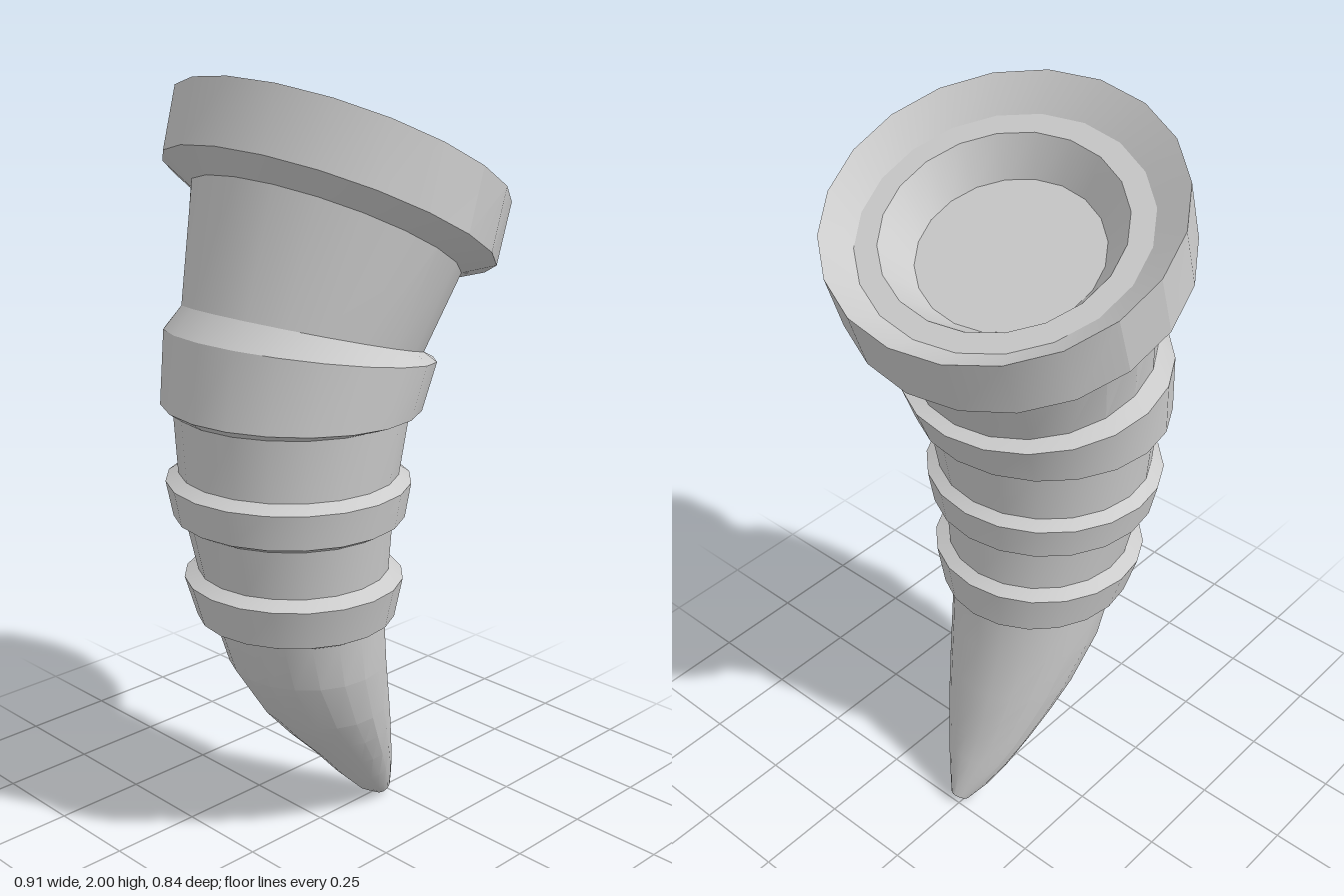
import * as THREE from 'three';
import { toCreasedNormals } from 'three/addons/utils/BufferGeometryUtils.js';

const SIDES = 20;

// Skin over tilted elliptical rings: [centre x, half width, front z, front y, back z, back y]
function loft(name, rings) {
  const point = ([cx, rx, fz, fy, bz, by], j) => {
    const a = (j % SIDES) / SIDES * Math.PI * 2;
    const t = (1 - Math.cos(a)) / 2;
    return [cx + rx * Math.sin(a), fy + (by - fy) * t, fz + (bz - fz) * t];
  };
  const positions = [];
  for (let i = 0; i < rings.length - 1; i++) {
    const lower = rings[i], upper = rings[i + 1];
    for (let j = 0; j < SIDES; j++) {
      const a = point(lower, j), b = point(lower, j + 1);
      const c = point(upper, j + 1), d = point(upper, j);
      // a ring of zero width is a cap centre, so only one triangle is needed there
      if (lower[1] > 0) positions.push(...a, ...b, ...c);
      if (upper[1] > 0) positions.push(...a, ...c, ...d);
    }
  }
  const geometry = new THREE.BufferGeometry();
  geometry.setAttribute('position', new THREE.Float32BufferAttribute(positions, 3));
  const material = new THREE.MeshStandardMaterial({ color: 0xcccccc });
  const mesh = new THREE.Mesh(toCreasedNormals(geometry, Math.PI / 9), material);
  mesh.name = name;
  return mesh;
}

// Ring parallel to the slanted mouth, sunk below it by a depth
function mouthRing(rx, frontZ, backZ, depth) {
  const y = (z) => 1.846 + 0.529 * z - 1.13 * depth;
  return [0, rx, frontZ, y(frontZ), backZ, y(backZ)];
}

export function createModel() {
  const group = new THREE.Group();
  group.name = 'curvedHorn';

  // Curved point with a small blunt end
  group.add(loft('hornTip', [
    [0.01, 0, -0.235, 0.015, -0.235, 0.015],
    [0.01, 0.025, -0.212, 0.0, -0.256, 0.03],
    [0.01, 0.06, -0.153, 0.035, -0.238, 0.1],
    [0.011, 0.095, -0.08, 0.105, -0.22, 0.16],
    [0.012, 0.127, 0.0, 0.192, -0.2, 0.23],
    [0.013, 0.155, 0.085, 0.275, -0.185, 0.31],
    [0.014, 0.18, 0.163, 0.36, -0.168, 0.39],
    [0.015, 0.21, 0.262, 0.51, -0.143, 0.52],
    [0.015, 0.222, 0.307, 0.64, -0.13, 0.64],
  ]));

  // Lower band
  group.add(loft('lowerBand', [
    [0.015, 0.222, 0.307, 0.64, -0.13, 0.64],
    [0.015, 0.252, 0.355, 0.66, -0.155, 0.655],
    [0.015, 0.282, 0.384, 0.765, -0.167, 0.765],
    [0.013, 0.243, 0.35, 0.785, -0.136, 0.785],
  ]));
  group.add(loft('lowerSleeve', [
    [0.013, 0.243, 0.35, 0.785, -0.136, 0.785],
    [0.01, 0.265, 0.376, 0.915, -0.138, 0.915],
  ]));

  // Middle band
  group.add(loft('middleBand', [
    [0.01, 0.265, 0.376, 0.915, -0.138, 0.915],
    [0.008, 0.294, 0.405, 0.93, -0.173, 0.93],
    [0.006, 0.312, 0.42, 1.02, -0.187, 1.02],
    [0.005, 0.28, 0.387, 1.04, -0.158, 1.04],
  ]));
  group.add(loft('middleSleeve', [
    [0.005, 0.28, 0.387, 1.04, -0.158, 1.04],
    [0.003, 0.297, 0.392, 1.195, -0.187, 1.195],
  ]));

  // Upper band, its top edge tilted towards the back
  group.add(loft('upperBand', [
    [0.003, 0.297, 0.392, 1.195, -0.187, 1.195],
    [0.002, 0.33, 0.42, 1.215, -0.215, 1.2],
    [0, 0.347, 0.395, 1.405, -0.256, 1.298],
    [0, 0.312, 0.345, 1.465, -0.222, 1.312],
  ]));

  // Neck
  group.add(loft('neck', [
    [0, 0.312, 0.345, 1.465, -0.222, 1.312],
    [0, 0.37, 0.275, 1.775, -0.3, 1.47],
  ]));

  // Flared head
  group.add(loft('head', [
    [0, 0.37, 0.275, 1.775, -0.3, 1.47],
    [0, 0.457, 0.332, 1.848, -0.372, 1.478],
    mouthRing(0.457, 0.291, -0.422, 0),
  ]));

  // Hollow mouth: sloping rim, flat step, then the wall and floor of the cup
  group.add(loft('mouth', [
    mouthRing(0.457, 0.291, -0.422, 0),
    mouthRing(0.375, 0.235, -0.345, 0.05),
    mouthRing(0.315, 0.187, -0.297, 0.05),
    mouthRing(0.245, 0.16, -0.213, 0.13),
    mouthRing(0, -0.0265, -0.0265, 0.13),
  ]));

  return group;
}
